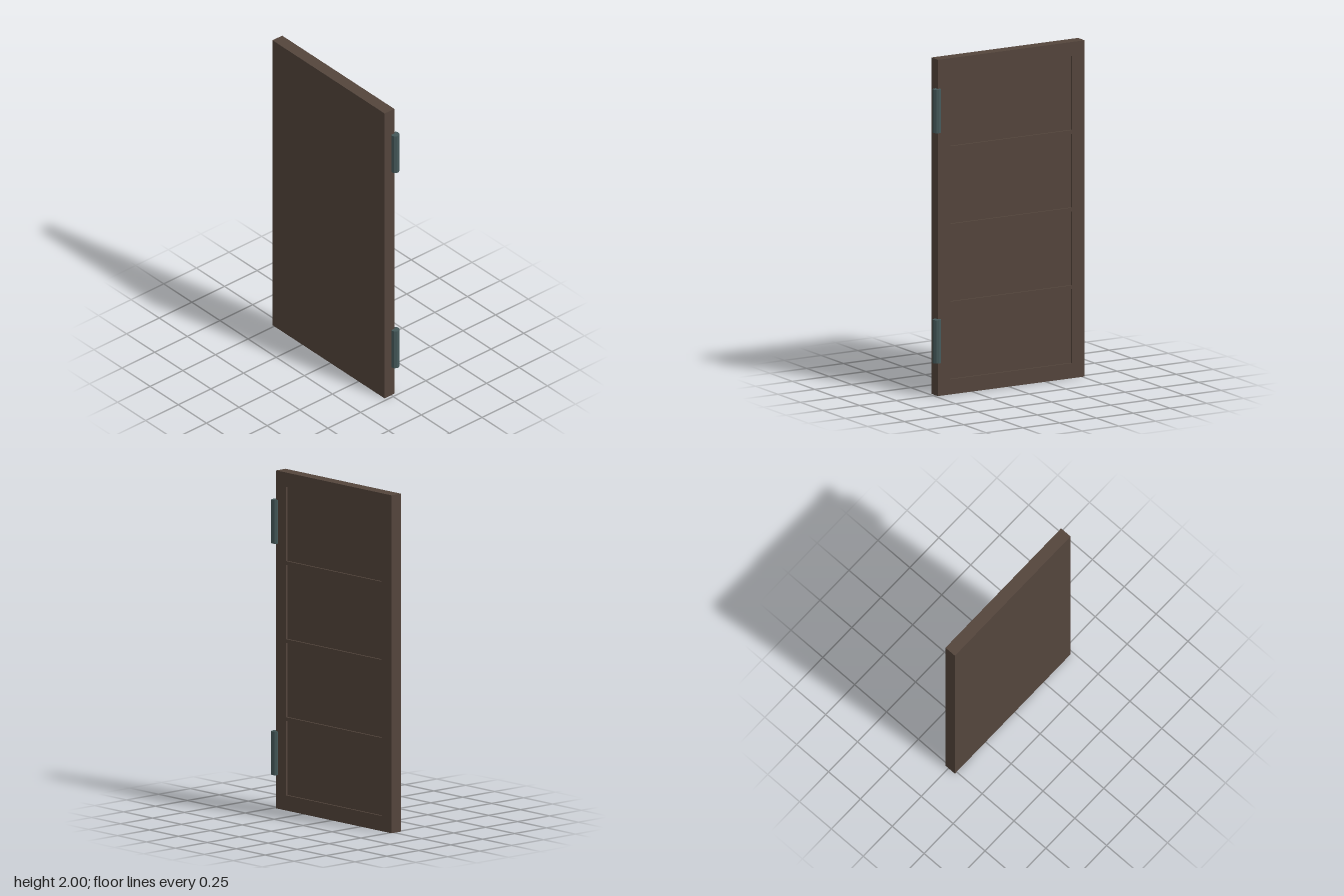
import * as THREE from 'three';

const WOOD = new THREE.MeshStandardMaterial({ color: 0x54453c, flatShading: true });
const METAL = new THREE.MeshStandardMaterial({ color: 0x45595a, flatShading: true });

const BACK = -0.05, FACE = 0.024, RECESS = 0.012; // door thickness along x
const Z0 = -0.515, Z1 = 0.482, HEIGHT = 2;

// Rectangle in the door's plane, from its z and y limits
function rect(PathType, z0, z1, y0, y1) {
  const path = new PathType();
  path.moveTo(-z1, y0);
  path.lineTo(-z0, y0);
  path.lineTo(-z0, y1);
  path.lineTo(-z1, y1);
  path.closePath();
  return path;
}

export function createModel() {
  const door = new THREE.Group();
  door.name = 'door';

  const add = (name, geometry, material, x, y, z) => {
    const mesh = new THREE.Mesh(geometry, material);
    mesh.name = name;
    mesh.position.set(x, y, z);
    door.add(mesh);
    return mesh;
  };

  // Solid slab, whose front forms the floors of the recessed panels
  const depth = FACE - RECESS - BACK;
  add('doorSlab', new THREE.BoxGeometry(depth, HEIGHT, Z1 - Z0), WOOD,
    BACK + depth / 2, HEIGHT / 2, (Z0 + Z1) / 2);

  // Face frame with four panel openings
  const frame = rect(THREE.Shape, Z0, Z1, 0, HEIGHT);
  for (let i = 0; i < 4; i++) {
    const y = 0.09 + i * 0.462;
    frame.holes.push(rect(THREE.Path, -0.43, 0.398, y, y + 0.44));
  }
  const frameGeometry = new THREE.ExtrudeGeometry(frame, { depth: RECESS, bevelEnabled: false });
  frameGeometry.rotateY(Math.PI / 2);
  add('panelFrame', frameGeometry, WOOD, FACE - RECESS, 0, 0);

  // Hinge barrels on the front corner
  const barrel = new THREE.CylinderGeometry(0.025, 0.025, 0.258, 10);
  barrel.rotateY(Math.PI / 2);
  add('lowerHinge', barrel, METAL, FACE, 0.328, 0.49);
  add('upperHinge', barrel, METAL, FACE, 1.698, 0.49);

  return door;
}
